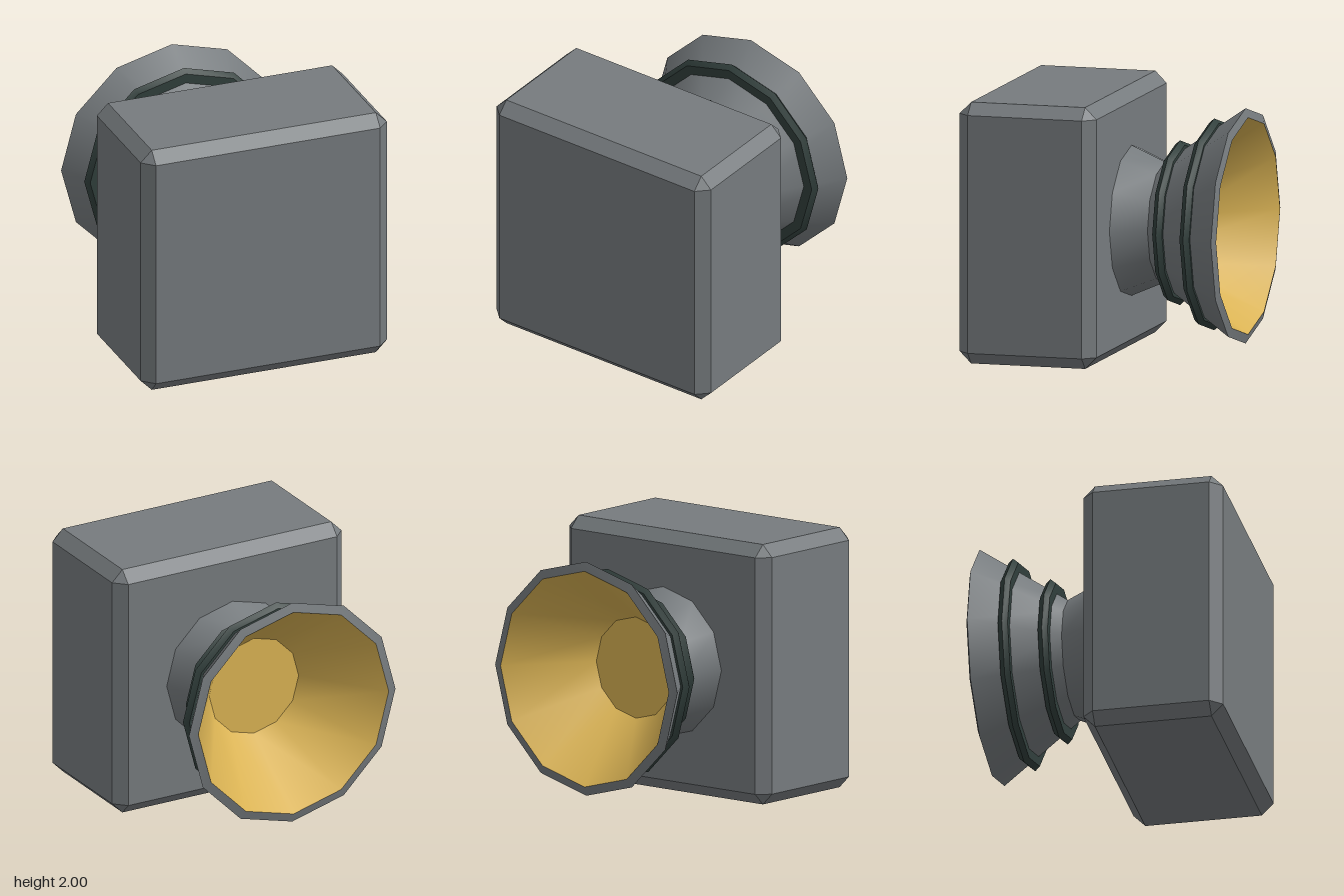
import * as THREE from 'three';
import { ConvexGeometry } from 'three/addons/geometries/ConvexGeometry.js';
import { toCreasedNormals } from 'three/addons/utils/BufferGeometryUtils.js';

const SIDES = 12;

const grey = new THREE.MeshStandardMaterial({ name: 'grey metal', color: 0x767b7e });
const dark = new THREE.MeshStandardMaterial({ name: 'dark rubber', color: 0x313f3c });
const gold = new THREE.MeshStandardMaterial({ name: 'gold lining', color: 0xd9b253 });

// Box with every edge and corner cut at 45 degrees
function chamferedBox(w, h, d, c) {
  const points = [];
  for (const sx of [-1, 1]) for (const sy of [-1, 1]) for (const sz of [-1, 1]) {
    const x = w / 2, y = h / 2, z = d / 2;
    points.push(
      new THREE.Vector3(sx * x, sy * (y - c), sz * (z - c)),
      new THREE.Vector3(sx * (x - c), sy * y, sz * (z - c)),
      new THREE.Vector3(sx * (x - c), sy * (y - c), sz * z)
    );
  }
  return new ConvexGeometry(points);
}

// Twelve-sided turned part along z, from [radius, z] pairs running backwards
function turned(name, profile, material) {
  const points = profile.map(([r, z]) => new THREE.Vector2(r, -z));
  const geometry = new THREE.LatheGeometry(points, SIDES).rotateX(-Math.PI / 2);
  const mesh = new THREE.Mesh(toCreasedNormals(geometry, 0.6), material);
  mesh.name = name;
  mesh.position.y = 1;
  return mesh;
}

// Flat-sided ring with a ridge around its outside
function ring(name, z, radius, inner) {
  const half = 0.038, slope = 0.034;
  return turned(name, [
    [inner, z + half],
    [radius - slope, z + half],
    [radius, z],
    [radius - slope, z - half],
    [inner, z - half],
  ], dark);
}

export function createModel() {
  const model = new THREE.Group();
  model.name = 'thruster';

  // Housing
  const housing = new THREE.Mesh(chamferedBox(2, 2, 1.08, 0.09), grey);
  housing.name = 'housing';
  housing.position.set(0, 1, 0.46);
  model.add(housing);

  // Neck, flared bell and rim
  model.add(turned('nozzleShell', [
    [0.58, -0.07], [0.46, -0.345], [0.9, -0.98], [0.83, -1],
  ], grey));

  // Bell lining and the flat disc at its throat
  model.add(turned('nozzleLining', [[0.83, -1], [0.39, -0.4]], gold));
  const throat = new THREE.Mesh(new THREE.CircleGeometry(0.39, SIDES), gold);
  throat.name = 'nozzleThroat';
  throat.rotation.y = Math.PI;
  throat.position.set(0, 1, -0.4);
  model.add(throat);

  // Bands around the bell
  model.add(ring('innerBand', -0.462, 0.63, 0.5));
  model.add(ring('outerBand', -0.732, 0.81, 0.69));

  return model;
}
